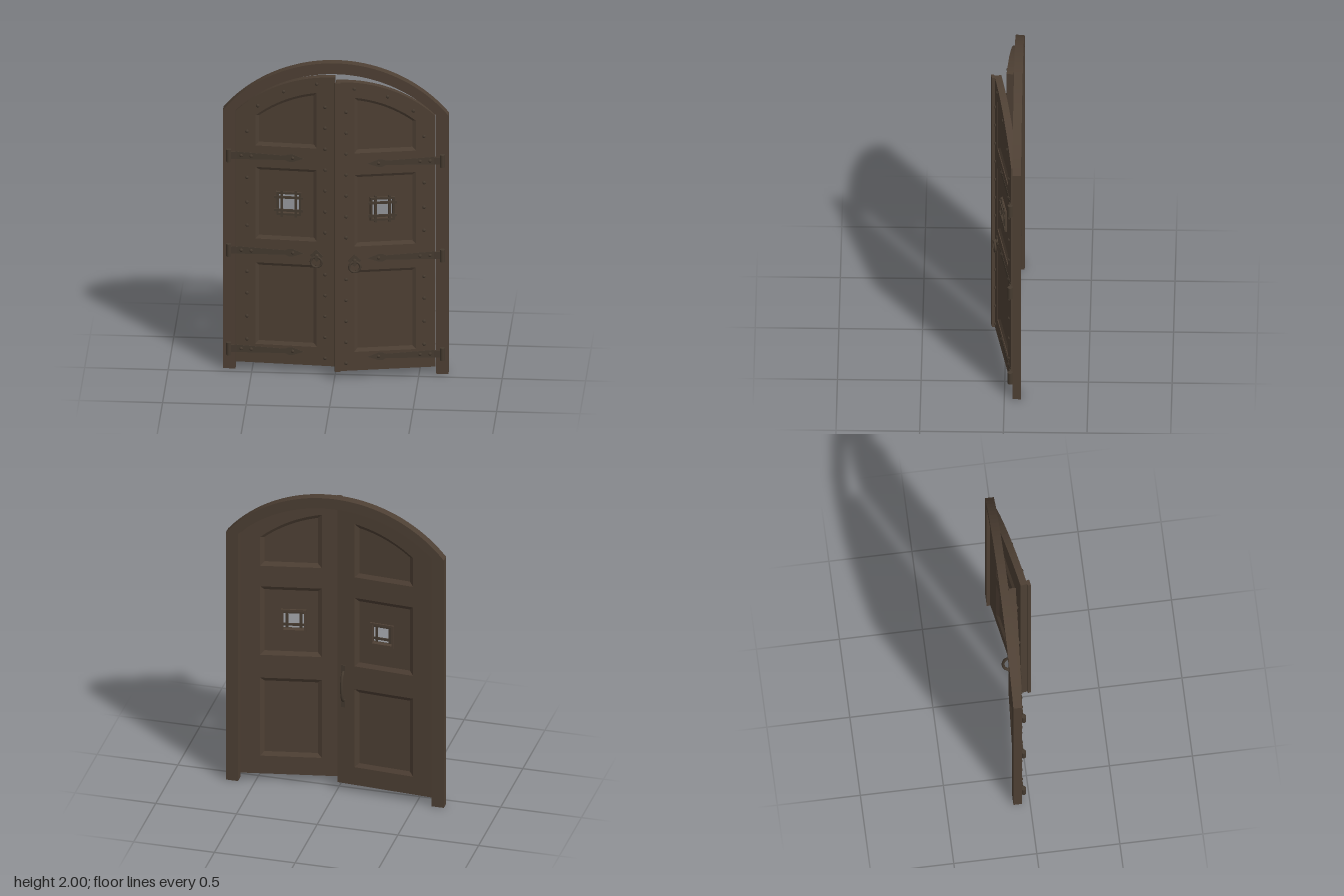
import * as THREE from 'three';

const wood = new THREE.MeshStandardMaterial({ color: 0x4e4034 });
wood.name = 'dark wood';
const iron = new THREE.MeshStandardMaterial({ color: 0x463b30 });
iron.name = 'aged iron';

const FRONT = -0.04, THICK = 0.042, HINGE_X = 0.598, BOTTOM = 0.05;
const hingeHeights = [0.135, 0.775, 1.39];
const arc = (r, cy) => (x) => cy + Math.sqrt(r * r - x * x);

function add(parent, name, geometry, material, x = 0, y = 0, z = 0) {
  const mesh = new THREE.Mesh(geometry, material);
  mesh.name = name;
  mesh.position.set(x, y, z);
  parent.add(mesh);
  return mesh;
}
const box = (w, h, d) => new THREE.BoxGeometry(w, h, d);

// Counter-clockwise outline with a flat or curved top, shrunk by inset
function outline(xa, xb, y0, top, inset = 0, n = 16) {
  const x0 = Math.min(xa, xb) + inset, x1 = Math.max(xa, xb) - inset;
  const pts = [new THREE.Vector2(x0, y0 + inset), new THREE.Vector2(x1, y0 + inset)];
  for (let i = 0; i <= n; i++) {
    const x = x1 + (x0 - x1) * i / n;
    pts.push(new THREE.Vector2(x, top(x) - inset));
  }
  return pts;
}

function slab(points, holes, z0, z1) {
  const shape = new THREE.Shape(points);
  for (const h of holes) shape.holes.push(new THREE.Path(h));
  const g = new THREE.ExtrudeGeometry(shape, { depth: z1 - z0, bevelEnabled: false });
  return g.translate(0, 0, z0);
}

// Sloped moulding between two matching outlines
function slope(outer, zo, inner, zi) {
  const pos = [], flip = zi > zo;
  const n = outer.length;
  for (let i = 0; i < n; i++) {
    const j = (i + 1) % n;
    const a = [outer[i].x, outer[i].y, zo], b = [outer[j].x, outer[j].y, zo];
    const c = [inner[i].x, inner[i].y, zi], d = [inner[j].x, inner[j].y, zi];
    const tris = flip ? [a, c, b, b, c, d] : [a, b, c, b, d, c];
    for (const p of tris) pos.push(...p);
  }
  const g = new THREE.BufferGeometry();
  g.setAttribute('position', new THREE.Float32BufferAttribute(pos, 3));
  g.computeVertexNormals();
  return g;
}

function buildFrame() {
  const g = new THREE.Group();
  g.name = 'frame';
  const pts = [];
  const outer = arc(0.872, 1.128), inner = arc(0.845, 1.085), n = 40;
  pts.push(new THREE.Vector2(0.6, 0), new THREE.Vector2(0.675, 0));
  for (let i = 0; i <= n; i++) {
    const x = 0.675 - 1.35 * i / n;
    pts.push(new THREE.Vector2(x, outer(x)));
  }
  pts.push(new THREE.Vector2(-0.675, 0), new THREE.Vector2(-0.6, 0));
  for (let i = 0; i <= n; i++) {
    const x = -0.6 + 1.2 * i / n;
    pts.push(new THREE.Vector2(x, inner(x)));
  }
  add(g, 'archedFrame', slab(pts, [], -0.1, -0.048), wood);
  // Hinge knuckles standing on the posts
  for (const s of [-1, 1]) for (const y of hingeHeights) {
    add(g, 'hingeBarrel', new THREE.CylinderGeometry(0.015, 0.015, 0.08, 12), iron, s * 0.64, y, -0.034);
    add(g, 'hingeLeaf', box(0.05, 0.045, 0.006), iron, s * 0.615, y, -0.036);
  }
  return g;
}

function buildDoor(s, angle) {
  const pivot = new THREE.Group();
  pivot.name = s > 0 ? 'leftDoor' : 'rightDoor';
  pivot.position.set(s * HINGE_X, 0, FRONT);
  pivot.rotation.y = s * angle;
  const d = new THREE.Group();
  d.name = 'doorLeaf';
  d.position.x = -s * HINGE_X;
  pivot.add(d);

  // Stiles and rails with three panel openings
  const panels = [[0.17, () => 0.7], [0.855, () => 1.32], [1.46, arc(0.745, 1.085)]];
  const around = (i, inset) => outline(s * 0.11, s * 0.48, panels[i][0], panels[i][1], inset);
  add(d, 'stilesAndRails', slab(outline(s * 0.003, s * HINGE_X, BOTTOM, arc(0.845, 1.082)),
    panels.map((p, i) => around(i, 0)), -THICK, 0), wood);

  // Recessed panels with sloped mouldings on both sides
  const wx = s * 0.28, wy = 1.09;
  const windowHole = outline(wx - 0.065, wx + 0.065, wy - 0.065, () => wy + 0.065, 0, 1);
  panels.forEach((p, i) => {
    add(d, 'panel', slab(around(i, 0.015), i === 1 ? [windowHole] : [], -0.028, -0.015), wood);
    add(d, 'frontMoulding', slope(around(i, 0), -0.005, around(i, 0.02), -0.015), wood);
    add(d, 'backMoulding', slope(around(i, 0), -THICK, around(i, 0.025), -0.028), wood);
  });

  // Window surround and grille
  const rim = (r) => outline(wx - r, wx + r, wy - r, () => wy + r, 0, 1);
  add(d, 'windowRim', slab(rim(0.076), [rim(0.062)], -0.037, -0.007), wood);
  for (const o of [-0.042, 0.042]) {
    add(d, 'grilleUpright', box(0.015, 0.172, 0.008), iron, wx + o, wy, -0.005);
    add(d, 'grilleCrossbar', box(0.172, 0.015, 0.008), iron, wx, wy + o, -0.001);
  }
  for (const o of [-0.068, 0.068]) {
    add(d, 'grilleFrameSide', box(0.012, 0.145, 0.006), iron, wx + o, wy, -0.004);
    add(d, 'grilleFrameEnd', box(0.145, 0.012, 0.006), iron, wx, wy + o, -0.004);
  }

  // Round-headed studs
  const studs = [[0.11, 1.88], [0.31, 1.82], [0.465, 1.72]];
  for (let i = 0; i < 13; i++) if (i !== 5) studs.push([0.06, 0.1 + i * 0.136]);
  for (const y of [0.2, 0.35, 0.5, 0.64, 0.94, 1.09, 1.25, 1.55]) studs.push([0.53, y]);
  for (const y of hingeHeights) for (const x of [0.255, 0.505, 0.565]) studs.push([x, y]);
  const head = new THREE.SphereGeometry(0.011, 10, 4, 0, Math.PI * 2, 0, Math.PI / 2).rotateX(Math.PI / 2);
  head.scale(1, 1, 0.75);
  for (const [x, y] of studs) add(d, 'stud', head, iron, s * x, y, 0.001);

  // Tapered strap hinges with pointed tips
  for (const y of hingeHeights) {
    const strap = [[0.6, -0.024], [0.6, 0.024], [0.3, 0.014], [0.28, 0.024], [0.255, 0.024],
      [0.19, 0], [0.255, -0.024], [0.28, -0.024], [0.3, -0.014]];
    add(d, 'strapHinge', slab(strap.map(([x, v]) => new THREE.Vector2(s * x, y + v)), [], 0, 0.002), iron);
  }

  // Ring pull on a diamond plate
  const hx = s * 0.11;
  const plate = add(d, 'ringPlate', box(0.056, 0.056, 0.005), iron, hx, 0.765, 0.003);
  plate.rotation.z = Math.PI / 4;
  const boss = add(d, 'ringBoss', new THREE.CylinderGeometry(0.011, 0.014, 0.024, 12), iron, hx, 0.765, 0.014);
  boss.rotation.x = Math.PI / 2;
  add(d, 'ringPull', new THREE.TorusGeometry(0.033, 0.007, 8, 28), iron, hx, 0.73, 0.018);

  if (s > 0) {
    // Cover strip over the meeting edge
    add(d, 'meetingStrip', box(0.035, 1.875, 0.018), wood, 0.008, 0.99, 0.009);
  } else {
    // Bowed pull handle on the inside
    const path = new THREE.CatmullRomCurve3([[0.61, -0.043], [0.635, -0.065], [0.71, -0.078], [0.785, -0.065], [0.81, -0.043]]
      .map(([y, z]) => new THREE.Vector3(-0.04, y, z)));
    add(d, 'insidePull', new THREE.TubeGeometry(path, 20, 0.009, 8), iron);
    for (const y of [0.595, 0.825]) add(d, 'pullMount', box(0.026, 0.055, 0.006), iron, -0.04, y, -0.044);
  }
  return pivot;
}

export function createModel() {
  const model = new THREE.Group();
  model.name = 'archedDoubleDoor';
  model.add(buildFrame(), buildDoor(-1, 0.065), buildDoor(1, 0.187));
  return model;
}
